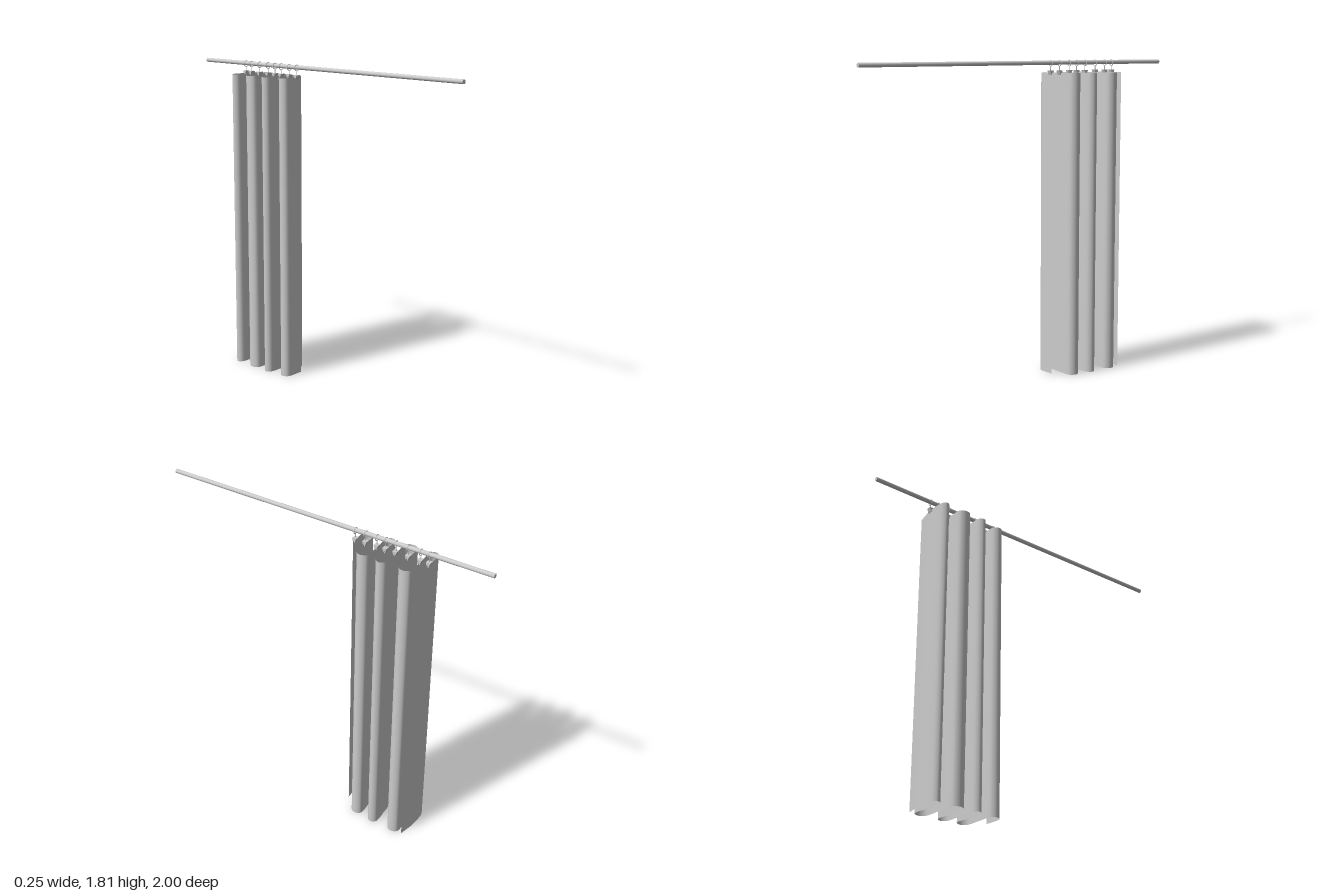
import * as THREE from 'three';

const ROD_Y = 1.797;
const CLOTH_TOP = 1.74;
// z of each ring; the cloth crosses the rod line at the same places
const RINGS = [-0.2, -0.262, -0.331, -0.383, -0.443, -0.517, -0.588, -0.638];
// reach of each fold to the side, alternating -x, +x
const REACH = [0.102, 0.115, 0.122, 0.125, 0.125, 0.125, 0.125];

function makeMesh(name, geometry, material) {
  const mesh = new THREE.Mesh(geometry, material);
  mesh.name = name;
  return mesh;
}

// Plan of the pleated cloth as a smooth curve in the x-z plane
function clothPlan() {
  const points = [new THREE.Vector3(0.022, 0, -0.2)];
  REACH.forEach((reach, i) => {
    const side = i % 2 ? 1 : -1;
    const a = RINGS[i], b = RINGS[i + 1];
    const shoulder = side * (reach - 0.017);
    const near = side > 0 ? a - 0.01 : a + 0.003;
    const far = side > 0 ? b - 0.004 : b + 0.008;
    if (i > 0) points.push(new THREE.Vector3(0, 0, a));
    points.push(new THREE.Vector3(shoulder, 0, near));
    points.push(new THREE.Vector3(side * reach, 0, (near + far) / 2));
    points.push(new THREE.Vector3(shoulder, 0, far));
  });
  points.push(new THREE.Vector3(0, 0, RINGS[7]));
  points.push(new THREE.Vector3(0.11, 0, -0.622));
  return new THREE.CatmullRomCurve3(points, false, 'centripetal');
}

// Sheet raised straight up from the plan curve
function clothGeometry() {
  const steps = 280;
  const geometry = new THREE.PlaneGeometry(1, 1, steps, 1);
  const plan = clothPlan().getPoints(steps);
  const pos = geometry.attributes.position;
  for (let i = 0; i < pos.count; i++) {
    const p = plan[i % (steps + 1)];
    pos.setXYZ(i, p.x, i <= steps ? CLOTH_TOP : 0, p.z);
  }
  geometry.computeVertexNormals();
  return geometry;
}

// Wedge-shaped clip, wide at the top and narrow where it grips the cloth
function clipGeometry() {
  const shape = new THREE.Shape();
  shape.moveTo(-0.013, 0.012);
  shape.lineTo(-0.004, -0.014);
  shape.lineTo(0.004, -0.014);
  shape.lineTo(0.013, 0.012);
  shape.closePath();
  const geometry = new THREE.ExtrudeGeometry(shape, { depth: 0.028, bevelEnabled: false });
  geometry.translate(0, 0, -0.014);
  geometry.rotateY(Math.PI / 2);
  return geometry;
}

export function createModel() {
  const model = new THREE.Group();
  model.name = 'curtainOnRod';
  const grey = new THREE.MeshStandardMaterial({ color: 0xcccccc });
  const clothGrey = new THREE.MeshStandardMaterial({ color: 0xcccccc, side: THREE.DoubleSide });

  // Rod along z
  const rod = makeMesh('rod', new THREE.CylinderGeometry(0.012, 0.012, 2, 24), grey);
  rod.rotation.x = Math.PI / 2;
  rod.position.y = ROD_Y;
  model.add(rod);

  // Pleated cloth
  model.add(makeMesh('curtain', clothGeometry(), clothGrey));

  // Rings with stem and clip
  const ringGeo = new THREE.TorusGeometry(0.0165, 0.0022, 8, 28);
  const stemGeo = new THREE.CylinderGeometry(0.0022, 0.0022, 0.026, 8);
  const clipGeo = clipGeometry();
  RINGS.forEach((z) => {
    const hanger = new THREE.Group();
    hanger.name = 'ringClip';
    const ring = makeMesh('ring', ringGeo, grey);
    ring.position.y = ROD_Y - 0.003;
    const stem = makeMesh('stem', stemGeo, grey);
    stem.position.y = 1.765;
    const clip = makeMesh('clip', clipGeo, grey);
    clip.position.y = 1.742;
    hanger.add(ring, stem, clip);
    hanger.position.z = z;
    model.add(hanger);
  });

  return model;
}
